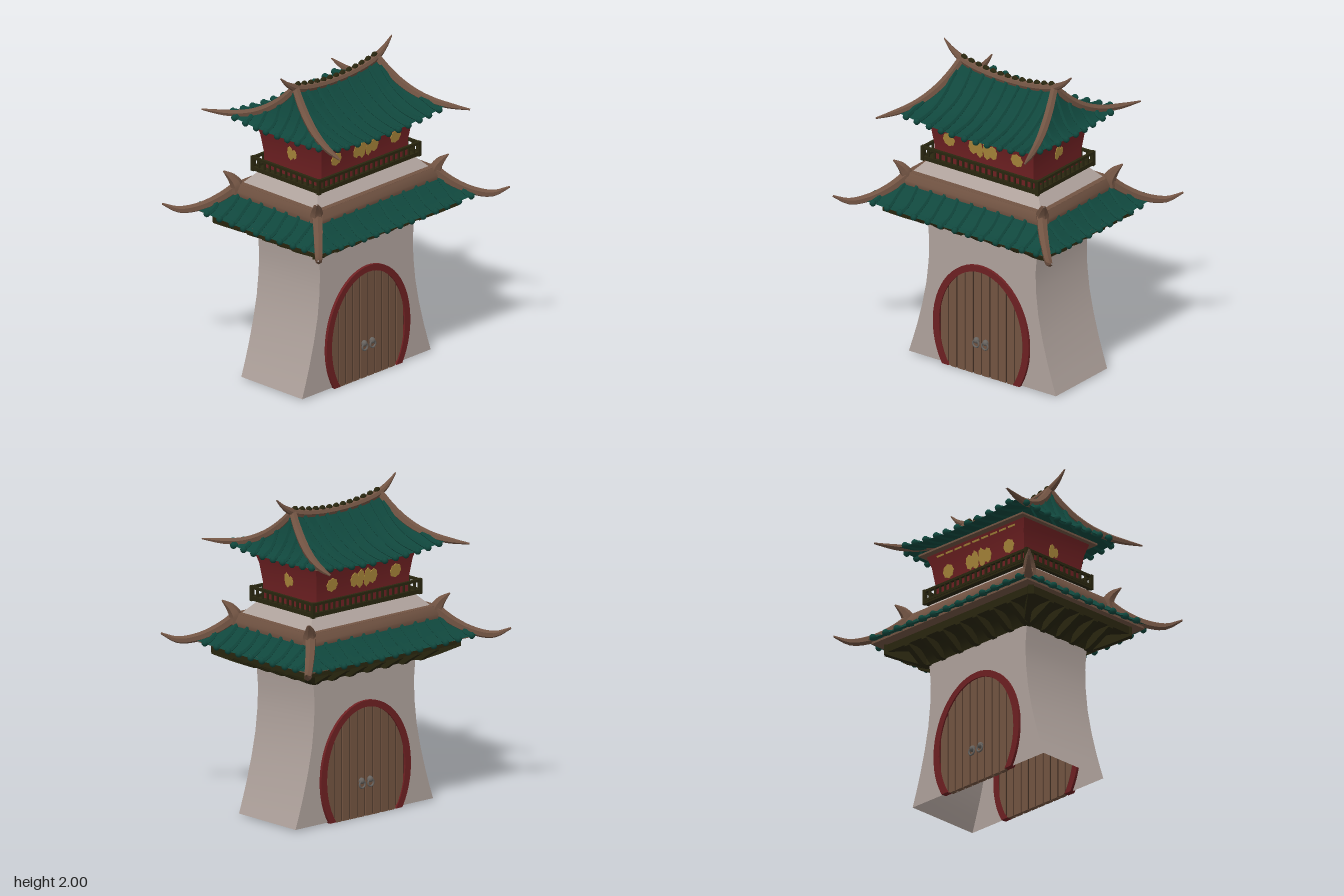
import * as THREE from 'three';
import { toCreasedNormals } from 'three/addons/utils/BufferGeometryUtils.js';

const mat = (name, color, side = THREE.FrontSide) => {
  const m = new THREE.MeshStandardMaterial({ color, side });
  m.name = name;
  return m;
};

export function createModel() {
  const plaster = mat('plaster', 0xb0a39d, THREE.DoubleSide);
  const teal = mat('teal tile', 0x10473d, THREE.DoubleSide);
  const brown = mat('brown beam', 0x725443);
  const olive = mat('dark olive timber', 0x29260f);
  const red = mat('red lacquer', 0x6e2022, THREE.DoubleSide);
  const gold = mat('gold', 0xae8a3c);
  const wood = mat('door wood', 0x735441);
  const gapWood = mat('door gap', 0x3a2a20);
  const metal = mat('metal', 0x66625e);

  const model = new THREE.Group();
  model.name = 'gateTower';
  const add = (name, geo, material, parent = model) => {
    const mesh = new THREE.Mesh(geo, material);
    mesh.name = name;
    parent.add(mesh);
    return mesh;
  };
  const group = (name, parent = model) => {
    const g = new THREE.Group();
    g.name = name;
    parent.add(g);
    return g;
  };
  const box = (name, w, h, d, x, y, z, m, parent) => {
    const mesh = add(name, new THREE.BoxGeometry(w, h, d), m, parent);
    mesh.position.set(x, y, z);
    return mesh;
  };

  // Point on side k (0 front, 1 +x, 2 back, 3 -x) of a rectangular ring
  // row = [y, halfX, halfZ, sag on front/back, sag on sides], a = distance along the side
  const sidePoint = (k, a, [y, hx, hz, sagF = 0, sagS = 0]) => {
    const [half, d, sag] = k % 2 ? [hz, hx, sagS] : [hx, hz, sagF];
    const u = half > 1e-6 ? a / half : 1;
    const yy = y - sag * (1 - u * u);
    return new THREE.Vector3(...[[a, yy, d], [d, yy, -a], [-a, yy, -d], [-d, yy, a]][k]);
  };
  // Four-sided open skin through rings listed from bottom to top
  const skin = (rows, nu = 1) => {
    const pos = [], index = [];
    for (let k = 0; k < 4; k++) {
      const base = pos.length / 3, w = nu + 1;
      rows.forEach((row, r) => {
        for (let i = 0; i <= nu; i++) {
          const a = (2 * i / nu - 1) * (k % 2 ? row[2] : row[1]);
          pos.push(...sidePoint(k, a, row).toArray());
          if (r && i) {
            const d = base + r * w + i, c = d - w;
            index.push(c - 1, c, d, c - 1, d, d - 1);
          }
        }
      });
    }
    const g = new THREE.BufferGeometry();
    g.setAttribute('position', new THREE.Float32BufferAttribute(pos, 3));
    g.setIndex(index);
    g.computeVertexNormals();
    return g;
  };
  // Tube along a curve whose radius follows a list
  const sweep = (points, radii, n = 14, sides = 6) => {
    const curve = new THREE.CatmullRomCurve3(points.map(p => p.isVector3 ? p : new THREE.Vector3(...p)));
    const g = new THREE.TubeGeometry(curve, n, 1, sides);
    const p = g.attributes.position, v = new THREE.Vector3();
    for (let i = 0; i < p.count; i++) {
      const t = Math.floor(i / (sides + 1)) / n, f = t * (radii.length - 1);
      const j = Math.min(Math.floor(f), radii.length - 2);
      const c = curve.getPointAt(t);
      v.fromBufferAttribute(p, i).sub(c).multiplyScalar(THREE.MathUtils.lerp(radii[j], radii[j + 1], f - j)).add(c);
      p.setXYZ(i, v.x, v.y, v.z);
    }
    return toCreasedNormals(g, 0.7);
  };
  const extrude = (pts, depth) => new THREE.ExtrudeGeometry(
    new THREE.Shape(pts.map(p => new THREE.Vector2(...p))), { depth, bevelEnabled: false });
  const corners = fn => [1, -1].forEach(sx => [1, -1].forEach(sz => fn(sx, sz)));

  // Flared gate base, open underneath
  add('gateWall', skin([[0.01, 0.553, 0.255], [0.1, 0.523, 0.255], [0.2, 0.492, 0.255], [0.35, 0.452, 0.255],
    [0.5, 0.421, 0.255], [0.65, 0.404, 0.255], [0.78, 0.4, 0.255], [0.92, 0.412, 0.255]]), plaster);
  box('gateCeiling', 0.8, 0.02, 0.5, 0, 0.91, 0, plaster);

  // Arched doors on both faces
  const arc = (rx, ry, a0, a1) => Array.from({ length: 41 }, (_, i) => {
    const a = a0 + (a1 - a0) * i / 40;
    return [rx * Math.cos(a), 0.27 + ry * Math.sin(a)];
  });
  const aOut = Math.asin(-0.265 / 0.45), aIn = Math.asin(-0.265 / 0.41);
  const inner = arc(0.315, 0.41, aIn, Math.PI - aIn);
  for (const [name, turn] of [['frontDoor', 0], ['backDoor', Math.PI]]) {
    const door = group(name);
    door.rotation.y = turn;
    add('doorFrame', extrude([...arc(0.36, 0.45, aOut, Math.PI - aOut), ...inner.slice().reverse()], 0.035), red, door)
      .position.z = 0.238;
    add('doorBacking', extrude(inner, 0.018), gapWood, door).position.z = 0.24;
    for (let i = 0; i < 10; i++) {
      const top = [], bottom = [];
      for (let j = 0; j <= 4; j++) {
        const x = -0.31 + 0.062 * i + 0.005 + 0.052 * j / 4;
        const h = 0.41 * Math.sqrt(1 - (x / 0.316) ** 2);
        top.unshift([x, 0.27 + h]);
        bottom.push([x, Math.max(0, 0.27 - h)]);
      }
      add('doorPlank', extrude([...bottom, ...top], 0.028), wood, door).position.z = 0.236;
    }
    for (const s of [-1, 1]) {
      const knob = add('doorKnob', new THREE.SphereGeometry(0.02, 14, 10), metal, door);
      knob.position.set(0.034 * s, 0.225, 0.268);
      const ring = add('doorRing', new THREE.TorusGeometry(0.022, 0.006, 8, 18), metal, door);
      ring.position.set(0.034 * s, 0.205, 0.276);
    }
  }

  // Bracket tier under the lower roof
  const brackets = group('brackets');
  add('bracketCore', skin([[0.9, 0.42, 0.265], [0.95, 0.44, 0.285], [0.985, 0.49, 0.325], [1.01, 0.6, 0.41]]), olive, brackets);
  box('bracketSlab', 1.24, 0.06, 0.86, 0, 1.025, 0, olive, brackets);
  const fin = (x, z, angle, reach) => {
    const g = extrude([[0, 0.9], [0.05, 0.9], [reach * 0.55, 0.935], [reach, 0.985], [reach, 1.05], [0, 1.05]], 0.036);
    g.translate(0, 0, -0.018);
    const m = add('bracketFin', g, olive, brackets);
    m.position.set(x, 0, z);
    m.rotation.y = angle;
  };
  for (const s of [1, -1]) {
    for (let i = -3; i <= 3; i++) fin(i * 0.143, 0.25 * s, -s * Math.PI / 2, 0.18);
    for (let i = -2; i <= 2; i++) fin(0.4 * s, i * 0.125, s > 0 ? 0 : Math.PI, 0.22);
  }
  corners((sx, sz) => fin(0.4 * sx, 0.25 * sz, Math.atan2(-0.18 * sz, 0.22 * sx), 0.284));

  // Tiled roof: curved skin plus rounded tile ribs; rowAt(0) is the top and rowAt(1) the eave
  const tiledRoof = (name, rowAt, nx, nz, step) => {
    const roof = group(name);
    const rows = Array.from({ length: 11 }, (_, i) => rowAt(1 - i / 10));
    add('roofSkin', skin(rows, 12), teal, roof);
    for (let k = 0; k < 4; k++) {
      const n = k % 2 ? nz : nx, axis = k % 2 ? 2 : 1;
      for (let i = -n; i <= n; i++) {
        const a = i * step;
        const h0 = rowAt(0)[axis], h1 = rowAt(1)[axis];
        const t0 = Math.max(0.02, (Math.abs(a) - h0) / (h1 - h0));
        const pts = Array.from({ length: 6 }, (_, j) => {
          const t = t0 + (1.02 - t0) * j / 5;
          const p = sidePoint(k, a + 0.004 * Math.sin(i * 2.3 + j * 1.4), rowAt(t));
          p.y += 0.004;
          return p;
        });
        add('tileRib', sweep(pts, [0.014, 0.017, 0.018], 8), teal, roof);
        add('tileEnd', new THREE.SphereGeometry(0.021, 8, 6), teal, roof).position.copy(pts[5]);
      }
    }
    return roof;
  };

  // Lower roof with its corner ridges and horns
  const lower = tiledRoof('lowerRoof',
    t => [1.065 + 0.125 * Math.max(0, 1 - t) ** 1.5, 0.5 + 0.185 * t, 0.33 + 0.2 * t, 0.015 * t, 0.015 * t], 6, 4, 0.102);
  box('lowerSoffit', 1.32, 0.014, 1.0, 0, 1.052, 0, brown, lower);
  add('upperBand', skin([[1.16, 0.53, 0.365], [1.19, 0.535, 0.37], [1.235, 0.515, 0.345]]), brown, lower);
  box('bandTop', 1.03, 0.01, 0.69, 0, 1.231, 0, brown, lower);
  corners((sx, sz) => {
    add('cornerRidge', sweep([[0.5, 1.215, 0.33], [0.57, 1.14, 0.405], [0.66, 1.08, 0.495], [0.75, 1.06, 0.585], [0.825, 1.1, 0.655]]
      .map(([x, y, z]) => [x * sx, y, z * sz]), [0.035, 0.032, 0.028, 0.024, 0.006]), brown, lower);
    add('cornerHorn', sweep([[0.515, 1.17, 0.335], [0.512, 1.22, 0.335], [0.53, 1.265, 0.355], [0.568, 1.312, 0.392]]
      .map(([x, y, z]) => [x * sx, y, z * sz]), [0.04, 0.04, 0.026, 0.004]), brown, lower);
  });

  // Sloped plinth and balcony railing
  add('plinth', skin([[1.235, 0.48, 0.31], [1.315, 0.405, 0.24]]), plaster);
  const railing = group('railing');
  box('balconyFloor', 0.87, 0.014, 0.56, 0, 1.317, 0, olive, railing);
  corners((sx, sz) => box('cornerPost', 0.022, 0.095, 0.022, 0.43 * sx, 1.355, 0.275 * sz, olive, railing));
  for (const s of [-1, 1]) {
    for (const y of [1.33, 1.392]) {
      box('rail', 0.86, 0.016, 0.018, 0, y, 0.275 * s, olive, railing);
      box('rail', 0.018, 0.016, 0.55, 0.43 * s, y, 0, olive, railing);
    }
    for (let i = -9; i <= 9; i++) box('baluster', 0.011, 0.07, 0.011, i * 0.043, 1.36, 0.275 * s, olive, railing);
    for (let i = -5; i <= 5; i++) box('baluster', 0.011, 0.07, 0.011, 0.43 * s, 1.36, i * 0.045, olive, railing);
  }

  // Flared upper room with gilded ornaments
  add('upperRoom', skin([[1.31, 0.372, 0.24], [1.42, 0.373, 0.24], [1.54, 0.388, 0.258], [1.625, 0.415, 0.282]]), red);
  const rosette = (rx, ry) => extrude(Array.from({ length: 48 }, (_, i) => {
    const a = i / 48 * Math.PI * 2, r = 1 + 0.06 * Math.cos(8 * a);
    return [rx * r * Math.cos(a), ry * r * Math.sin(a)];
  }), 0.006);
  const ornaments = group('ornaments');
  for (let k = 0; k < 4; k++) {
    const face = group('gildedFace', ornaments);
    face.rotation.y = k * Math.PI / 2;
    const d = k % 2 ? 0.3805 : 0.249;
    const list = k % 2 ? [[-0.012, 0.022, 0.045], [0.022, 0.018, 0.03]]
      : [[-0.255, 0.042, 0.042], [0.255, 0.042, 0.042], [-0.075, 0.03, 0.045], [-0.027, 0.026, 0.058], [0.027, 0.026, 0.058], [0.075, 0.03, 0.045]];
    for (const [x, rx, ry] of list) {
      const m = add('rosette', rosette(rx, ry), gold, face);
      m.position.set(x, 1.48, d - 0.002);
      m.rotation.x = k % 2 ? 0.125 : 0.15;
    }
    if (k % 2 === 0) for (let i = -4; i <= 4; i++)
      box('goldDash', 0.055, 0.011, 0.008, i * 0.075, 1.59, 0.273, gold, face).rotation.x = 0.27;
  }

  // Upper roof: hips run straight in plan from the ridge ends to the corners
  const hipRow = t => [1.65 + 0.24 * (1 - t) ** 3, 0.35 + 0.21 * t, 0.58 * t, 0.035, 0.035 * t];
  const upper = tiledRoof('upperRoof', t => hipRow(0.74 * t), 5, 4, 0.088);
  box('upperSoffit', 0.88, 0.012, 0.64, 0, 1.618, 0, brown, upper);
  corners((sx, sz) => {
    const pts = Array.from({ length: 8 }, (_, i) => {
      const [y, x, z] = hipRow(i / 7);
      return [x * sx, y + 0.006, z * sz];
    });
    add('hipRidge', sweep(pts, [0.024, 0.027, 0.027, 0.024, 0.019, 0.005], 18), brown, upper);
  });

  // Curved main ridge with a row of dark ridge tiles
  const ridge = [[0.48, 1.997], [0.42, 1.94], [0.34, 1.895], [0.18, 1.862]];
  add('mainRidge', sweep([...ridge.map(([x, y]) => [-x, y, 0]), [0, 1.852, 0], ...ridge.slice().reverse().map(([x, y]) => [x, y, 0])],
    [0.004, 0.02, 0.028, 0.027, 0.026, 0.026, 0.027, 0.028, 0.02, 0.004], 32, 8), brown, upper);
  for (let i = -6; i <= 6; i++) {
    const x = i * 0.055;
    const bead = add('ridgeTile', new THREE.SphereGeometry(0.025, 10, 8), olive, upper);
    bead.position.set(x, 1.87 + 0.36 * x * x, 0);
    bead.scale.z = 0.6;
  }
  return model;
}
